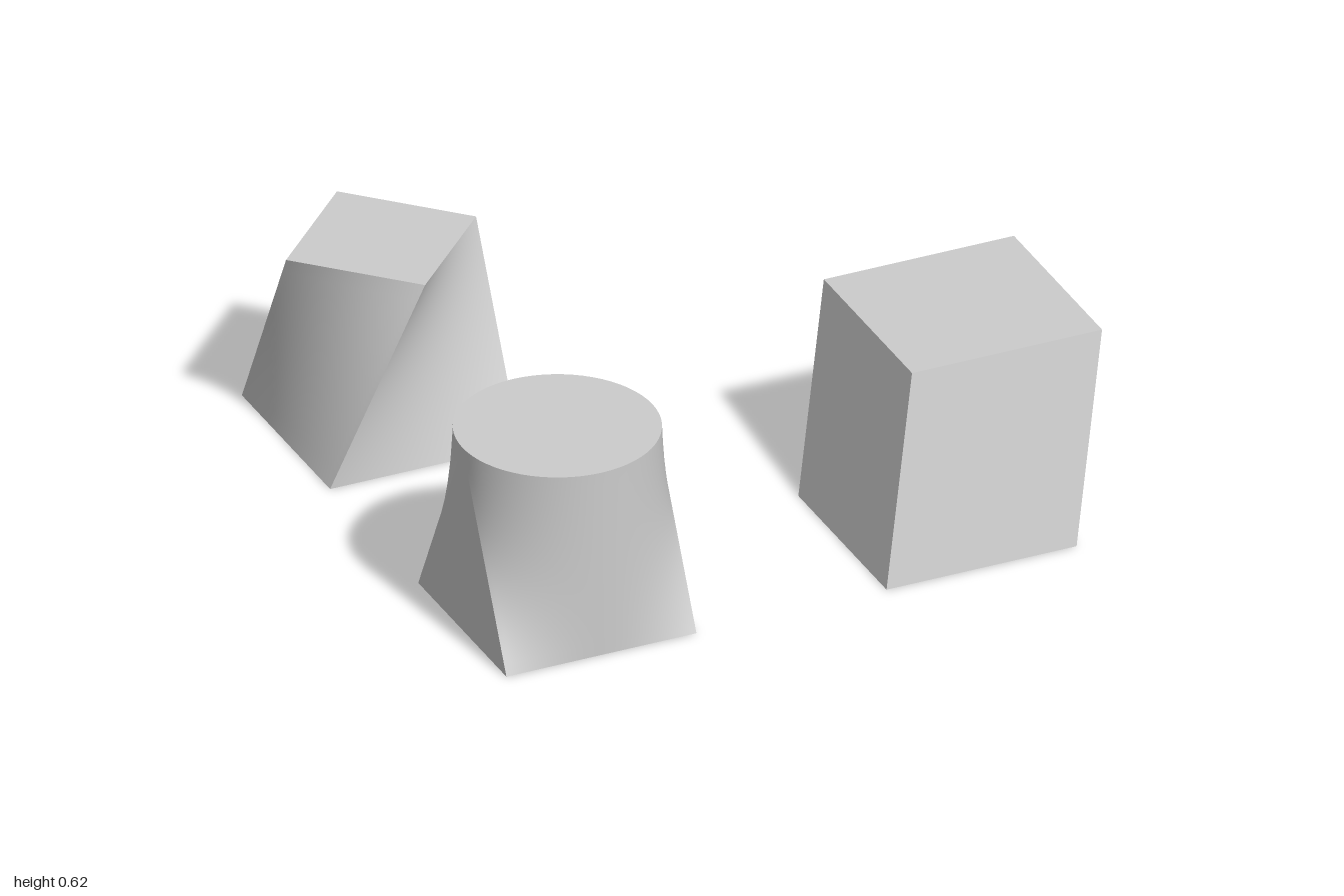
import * as THREE from 'three';

const S = 8 / 13;      // edge length shared by all three solids
const R = S / 2;
const material = new THREE.MeshStandardMaterial({ color: 0xcccccc });

const point = (x, y, z) => new THREE.Vector3(x * R, y * S, z * R);
const line = (a, b) => (t) => a.clone().lerp(b, t);

// Ruled surface from curve "low" to curve "high"; both run left to right seen from outside
function ruled(low, high, across = 24, up = 12) {
  const positions = [], index = [];
  for (let j = 0; j <= up; j++) {
    for (let i = 0; i <= across; i++) {
      const p = low(i / across).lerp(high(i / across), j / up);
      positions.push(p.x, p.y, p.z);
    }
  }
  for (let j = 0; j < up; j++) {
    for (let i = 0; i < across; i++) {
      const a = j * (across + 1) + i, d = a + across + 1;
      index.push(a, a + 1, d + 1, a, d + 1, d);
    }
  }
  const geometry = new THREE.BufferGeometry();
  geometry.setAttribute('position', new THREE.Float32BufferAttribute(positions, 3));
  geometry.setIndex(index);
  geometry.computeVertexNormals();
  return geometry;
}

function add(group, name, geometry, turn = 0) {
  const mesh = new THREE.Mesh(geometry, material);
  mesh.name = name;
  mesh.rotation.y = turn;
  group.add(mesh);
}

// Edges of the square base
const frontEdge = line(point(-1, 0, 1), point(1, 0, 1));
const backEdge = line(point(-1, 0, -1), point(1, 0, -1));
const sideEdge = line(point(1, 0, 1), point(1, 0, -1));

// Square base twisting into a diamond top
function squareToDiamond() {
  const group = new THREE.Group();
  group.name = 'squareToDiamondLoft';
  const topEdge = line(point(0, 1, 1), point(1, 1, 0));
  for (let k = 0; k < 4; k++) {
    add(group, 'twistedSide', ruled(frontEdge, topEdge), k * Math.PI / 2);
  }
  add(group, 'base', ruled(backEdge, frontEdge, 1, 1));
  add(group, 'diamondTop', ruled(topEdge, line(point(-1, 1, 0), point(0, 1, -1)), 1, 1));
  return group;
}

// Square base rising to a round top: two curved halves and two flat triangles
function squareToCircle() {
  const group = new THREE.Group();
  group.name = 'squareToCircleLoft';
  const arc = (sign) => (t) => {
    const angle = (t - 0.5) * Math.PI;
    return point(Math.sin(angle), 1, sign * Math.cos(angle));
  };
  const apex = () => point(1, 1, 0);
  for (const turn of [0, Math.PI]) {
    add(group, 'curvedSide', ruled(frontEdge, arc(1), 32, 16), turn);
    add(group, 'flatSide', ruled(sideEdge, apex, 1, 1), turn);
  }
  add(group, 'base', ruled(backEdge, frontEdge, 1, 1));
  add(group, 'roundTop', ruled(arc(1), arc(-1), 32, 1));
  return group;
}

// Cube sheared to the left and backwards
function slantedCube() {
  const group = new THREE.Group();
  group.name = 'slantedCube';
  const geometry = new THREE.BoxGeometry(S, S, S).translate(0, S / 2, 0);
  geometry.applyMatrix4(new THREE.Matrix4().set(
    1, 0.25, 0, 0,
    0, 1, 0, 0,
    0, -0.25, 1, 0,
    0, 0, 0, 1
  ));
  add(group, 'slantedBody', geometry);
  return group;
}

export function createModel() {
  const model = new THREE.Group();
  model.name = 'loftedSolids';
  const diamond = squareToDiamond();
  const circle = squareToCircle();
  const slanted = slantedCube();
  diamond.position.set(-1 + R, 0, -S);
  circle.position.set(-1 + R, 0, S);
  slanted.position.set(-1 + 2 * S + R, 0, S);
  model.add(diamond, circle, slanted);
  return model;
}
